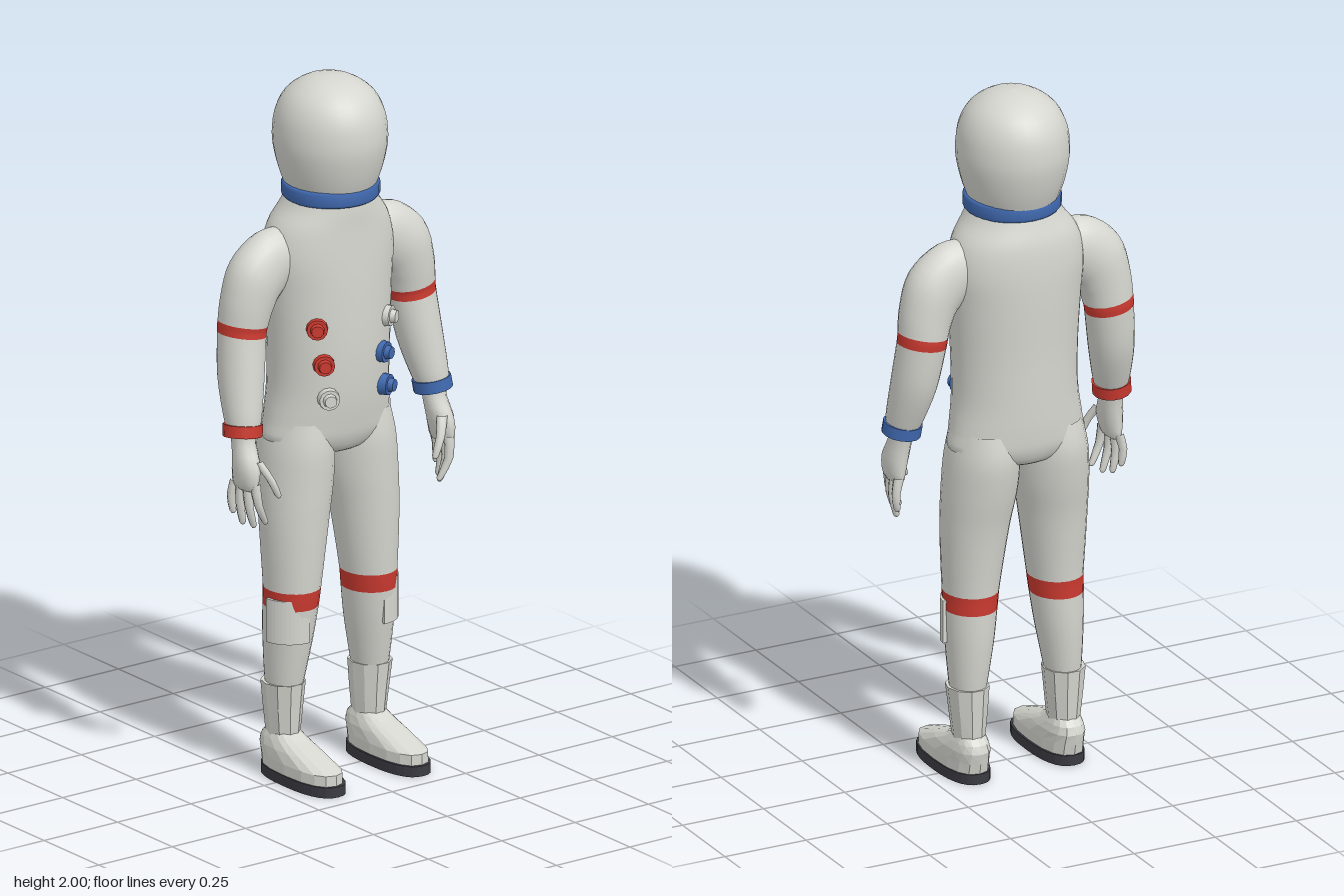
import * as THREE from 'three';

const material = (name, color) => {
  const m = new THREE.MeshStandardMaterial({ color });
  m.name = name;
  return m;
};

// Smooth blend between table rows
function sample(rows, i, t) {
  const r = (k) => rows[Math.min(Math.max(k, 0), rows.length - 1)];
  const [a, b, c, d] = [r(i - 1), r(i), r(i + 1), r(i + 2)];
  return b.map((_, k) => {
    const v0 = (c[k] - a[k]) / 2, v1 = (d[k] - b[k]) / 2;
    return b[k] + v0 * t + (3 * (c[k] - b[k]) - 2 * v0 - v1) * t * t
      + (2 * (b[k] - c[k]) + v0 + v1) * t * t * t;
  });
}

// Skin over rings listed from the top down. Row: x, y, z, radius across, radius in z, tilt in degrees.
// "square" below 1 makes rings boxier; "bands" gives a material index to chosen row spans.
function loft(rows, { side = 1, sides = 24, steps = 4, square = 1, flat = false, bands = {} } = {}) {
  const pos = [], index = [], geo = new THREE.BufferGeometry();
  const count = (rows.length - 1) * steps;
  const bend = (v) => Math.sign(v) * Math.abs(v) ** square;
  for (let n = 0; n <= count; n++) {
    const seg = Math.min(Math.floor(n / steps), rows.length - 2);
    const [x, y, z, ra, rb, tilt] = sample(rows, seg, n / steps - seg);
    const a = THREE.MathUtils.degToRad(tilt);
    for (let j = 0; j < sides; j++) {
      const th = (j / sides) * Math.PI * 2;
      const u = bend(Math.cos(th)) * Math.max(ra, 0.001);
      const v = bend(Math.sin(th)) * Math.max(rb, 0.001);
      pos.push(side * (x + u * Math.cos(a)), y + u * Math.sin(a), z + v);
    }
  }
  for (let n = 0; n < count; n++) {
    geo.addGroup(index.length, sides * 6, bands[Math.floor(n / steps)] ?? 0);
    for (let j = 0; j < sides; j++) {
      const a = n * sides + j, b = n * sides + (j + 1) % sides, c = a + sides, d = b + sides;
      if (side > 0) index.push(a, b, c, b, d, c);
      else index.push(a, c, b, b, c, d);
    }
  }
  geo.setAttribute('position', new THREE.Float32BufferAttribute(pos, 3));
  geo.setIndex(index);
  const out = flat ? geo.toNonIndexed() : geo;
  out.computeVertexNormals();
  return out;
}

export function createModel() {
  const model = new THREE.Group();
  const white = material('suitWhite', 0xd6d6d0);
  const red = material('signalRed', 0xcb3a30);
  const blue = material('ringBlue', 0x4069b0);
  const dark = material('soleDark', 0x3a3a42);

  const add = (name, geo, mat, parent = model) => {
    if (!Array.isArray(mat)) geo.clearGroups();
    const mesh = new THREE.Mesh(geo, mat);
    mesh.name = name;
    parent.add(mesh);
    return mesh;
  };

  // Helmet
  const dome = new THREE.SplineCurve([
    [0.12, 1.68], [0.138, 1.73], [0.152, 1.79], [0.155, 1.84], [0.146, 1.9],
    [0.117, 1.953], [0.062, 1.99], [0.0001, 2],
  ].map((p) => new THREE.Vector2(...p)));
  add('helmet', new THREE.LatheGeometry(dome.getPoints(20), 28).scale(1, 1, 1.07), white).position.z = -0.034;

  // Neck ring with bevelled edges
  const collar = [[0.11, 1.655], [0.13, 1.655], [0.136, 1.663], [0.136, 1.692], [0.13, 1.7], [0.11, 1.7]];
  const collarGeo = new THREE.LatheGeometry(collar.map((p) => new THREE.Vector2(...p)), 28);
  add('collar', collarGeo, blue).position.z = -0.031;

  // Torso
  add('torso', loft([
    [0, 1.69, -0.03, 0.115, 0.115, 0],
    [0, 1.64, -0.036, 0.14, 0.126, 0],
    [0, 1.58, -0.045, 0.182, 0.136, 0],
    [0, 1.5, -0.047, 0.2, 0.142, 0],
    [0, 1.4, -0.045, 0.192, 0.144, 0],
    [0, 1.25, -0.042, 0.183, 0.143, 0],
    [0, 1.12, -0.045, 0.182, 0.14, 0],
    [0, 1.03, -0.05, 0.194, 0.133, 0],
    [0, 0.97, -0.053, 0.197, 0.122, 0],
    [0, 0.93, -0.054, 0.11, 0.09, 0],
    [0, 0.918, -0.054, 0.001, 0.001, 0],
  ], { sides: 36 }), white);

  // Hose connectors on the chest
  const connectors = [
    [-0.118, 1.315, red], [-0.102, 1.21, red], [-0.09, 1.11, white],
    [0.115, 1.305, white], [0.09, 1.21, blue], [0.104, 1.11, blue],
  ];
  for (const [x, y, mat] of connectors) {
    const z = 0.142 * Math.sqrt(1 - (x / 0.183) ** 2);
    const normal = new THREE.Vector3(x / 0.183 ** 2, 0, z / 0.142 ** 2).normalize();
    const connector = new THREE.Group();
    connector.name = 'chestConnector';
    connector.position.set(x, y, z - 0.044);
    connector.quaternion.setFromUnitVectors(new THREE.Vector3(0, 1, 0), normal);
    add('connectorFlange', new THREE.CylinderGeometry(0.029, 0.031, 0.024, 12), mat, connector).position.y = 0.006;
    add('connectorPlug', new THREE.CylinderGeometry(0.017, 0.02, 0.016, 10), mat, connector).position.y = 0.025;
    model.add(connector);
  }

  for (const side of [1, -1]) {
    const label = side > 0 ? 'left' : 'right';

    // Arm with a red band above the elbow
    add(label + 'Arm', loft([
      [0.12, 1.5, -0.045, 0.088, 0.06, 80],
      [0.19, 1.5, -0.045, 0.092, 0.066, 68],
      [0.25, 1.455, -0.045, 0.09, 0.072, 45],
      [0.275, 1.39, -0.047, 0.078, 0.071, 22],
      [0.285, 1.335, -0.05, 0.071, 0.069, 10],
      [0.289, 1.305, -0.05, 0.069, 0.068, 9],
      [0.305, 1.18, -0.033, 0.063, 0.068, 8],
      [0.32, 1.07, -0.005, 0.05, 0.054, 8],
      [0.325, 1.03, 0.002, 0.036, 0.04, 5],
    ], { side, bands: { 4: 1 } }), [white, red]);

    // Wrist ring
    const ring = add(label + 'WristRing', new THREE.CylinderGeometry(0.055, 0.055, 0.034, 14), side > 0 ? blue : red);
    ring.position.set(side * 0.323, 1.047, 0);
    ring.rotation.set(-0.12, 0, side * 0.12);

    // Hand
    add(label + 'Hand', loft([
      [0.324, 1.05, 0, 0.036, 0.038, 0],
      [0.325, 1.01, 0.008, 0.033, 0.036, 0],
      [0.33, 0.96, 0.025, 0.034, 0.049, 0],
      [0.334, 0.915, 0.028, 0.027, 0.051, 0],
      [0.335, 0.888, 0.026, 0.016, 0.044, 0],
      [0.335, 0.882, 0.026, 0.001, 0.001, 0],
    ], { side, sides: 12, steps: 2 }), white);

    // Fingers, then thumb: base, knuckle, tip
    const fingers = [
      [[0.33, 0.91, 0.066], [0.325, 0.85, 0.074], [0.298, 0.795, 0.068]],
      [[0.336, 0.9, 0.04], [0.336, 0.84, 0.046], [0.318, 0.782, 0.042]],
      [[0.338, 0.9, 0.014], [0.344, 0.845, 0.016], [0.334, 0.788, 0.014]],
      [[0.338, 0.905, -0.012], [0.35, 0.86, -0.016], [0.346, 0.815, -0.014]],
      [[0.315, 0.97, 0.056], [0.29, 0.92, 0.082], [0.268, 0.87, 0.088]],
    ];
    fingers.forEach(([base, knuckle, tip], i) => {
      const end = [tip[0], tip[1] - 0.008, tip[2]];
      add(label + (i < 4 ? 'Finger' : 'Thumb'), loft([
        [...base, 0.015, 0.015, 0], [...knuckle, 0.0125, 0.0125, 0],
        [...tip, 0.0095, 0.0095, 0], [...end, 0.001, 0.001, 0],
      ], { side, sides: 8, steps: 2 }), white);
    });

    // Leg with a red band above the knee
    add(label + 'Leg', loft([
      [0.1, 1.03, -0.052, 0.085, 0.11, 0],
      [0.104, 0.95, -0.053, 0.1, 0.122, 0],
      [0.11, 0.85, -0.048, 0.103, 0.115, 0],
      [0.119, 0.75, -0.04, 0.096, 0.103, 0],
      [0.125, 0.65, -0.036, 0.087, 0.094, 0],
      [0.13, 0.547, -0.034, 0.077, 0.086, 0],
      [0.133, 0.495, -0.036, 0.074, 0.083, 0],
      [0.138, 0.4, -0.042, 0.066, 0.076, 0],
      [0.145, 0.28, -0.048, 0.052, 0.06, 0],
      [0.147, 0.2, -0.05, 0.04, 0.045, 0],
    ], { side, bands: { 5: 1 } }), [white, red]);

    // Curved knee pad on the outer front of the leg
    const pad = new THREE.Shape();
    const [from, to] = side > 0 ? [0, 1.65] : [Math.PI - 1.65, Math.PI];
    pad.absarc(0, 0, 0.082, from, to, false);
    pad.absarc(0, 0, 0.06, to, from, true);
    const padGeo = new THREE.ExtrudeGeometry(pad, { depth: 0.125, bevelEnabled: false, curveSegments: 6 });
    add(label + 'KneePad', padGeo.rotateX(Math.PI / 2), white).position.set(side * 0.134, 0.525, -0.038);

    // Boot shaft
    add(label + 'BootShaft', loft([
      [0.148, 0.27, -0.05, 0.045, 0.052, 0],
      [0.148, 0.272, -0.05, 0.06, 0.066, 0],
      [0.147, 0.2, -0.052, 0.053, 0.06, 0],
      [0.146, 0.12, -0.053, 0.044, 0.054, 0],
      [0.146, 0.08, -0.053, 0.044, 0.054, 0],
    ], { side, sides: 10, steps: 1, flat: true }), white);

    // Boot foot, sloping from ankle to toe
    add(label + 'BootFoot', loft([
      [0.146, 0.13, -0.055, 0.04, 0.05, 0],
      [0.146, 0.112, -0.045, 0.048, 0.078, 0],
      [0.146, 0.09, -0.015, 0.056, 0.116, 0],
      [0.146, 0.06, 0.032, 0.061, 0.158, 0],
      [0.146, 0.025, 0.036, 0.062, 0.155, 0],
    ], { side, sides: 16, steps: 1, square: 0.8, flat: true }), white);

    // Sole
    add(label + 'Sole', loft([
      [0.145, 0.03, 0.038, 0.001, 0.001, 0],
      [0.145, 0.03, 0.038, 0.066, 0.161, 0],
      [0.145, 0, 0.038, 0.066, 0.161, 0],
      [0.145, 0, 0.038, 0.001, 0.001, 0],
    ], { side, sides: 28, steps: 1, square: 0.8, flat: true }), dark);
  }
  return model;
}
